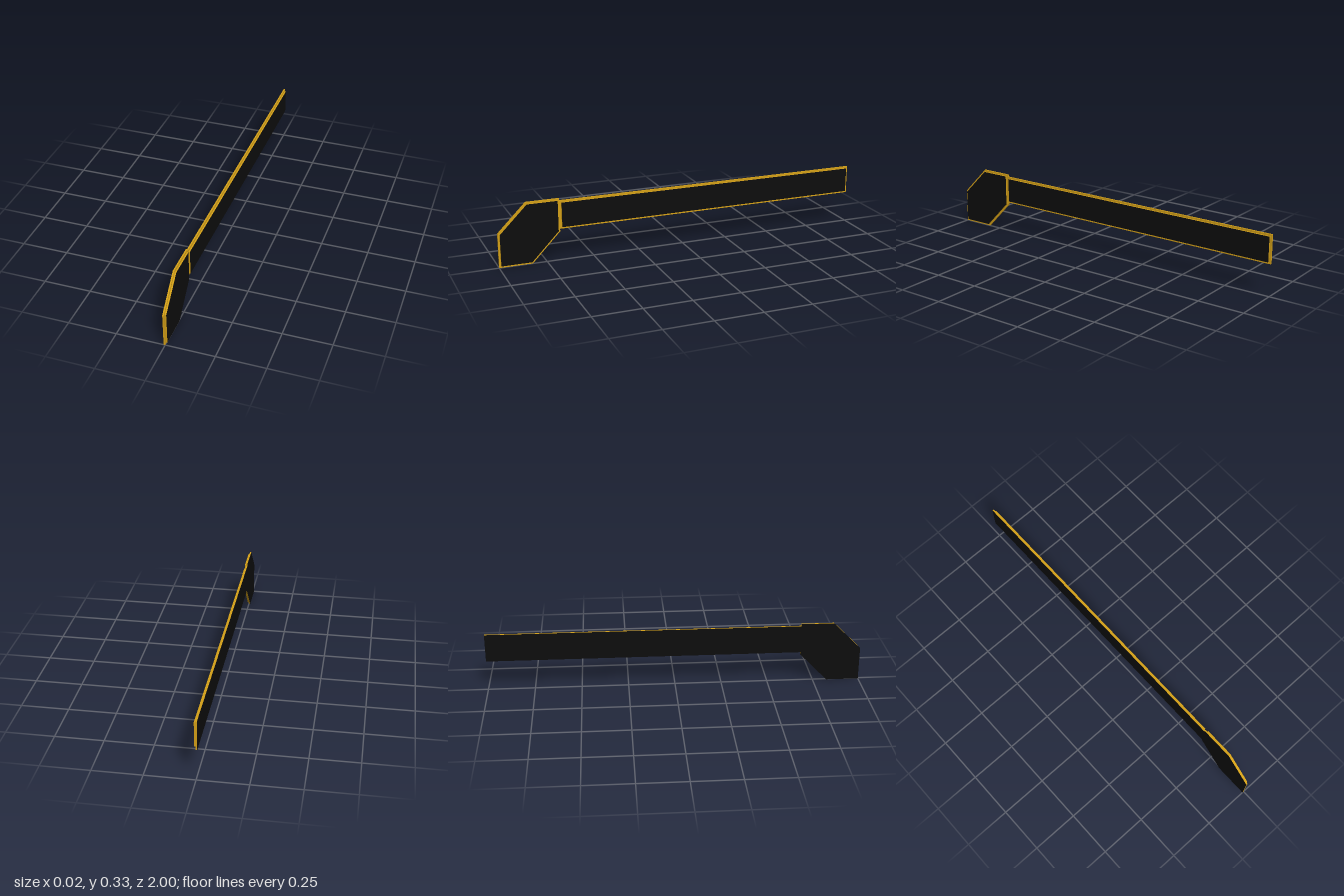
import * as THREE from 'three';

const gold = new THREE.MeshStandardMaterial({ color: 0xd4a017 });
const black = new THREE.MeshStandardMaterial({ color: 0x0d0d0d });

// Outlines as counter-clockwise [-z, y] corners
const headOutline = [[-1, 0], [-0.825, 0], [-0.675, 0.155], [-0.675, 0.332], [-0.85, 0.332], [-1, 0.182]];
const armOutline = [[-0.675, 0.168], [1, 0.168], [1, 0.32], [-0.675, 0.32]];

// Moves every edge of a convex outline inward by t
function inset(points, t) {
  const p = points.map(([x, y]) => new THREE.Vector2(x, y));
  const n = p.length;
  const normals = p.map((a, i) => {
    const d = p[(i + 1) % n].clone().sub(a).normalize();
    return new THREE.Vector2(-d.y, d.x);
  });
  return p.map((a, i) => {
    const n1 = normals[(i + n - 1) % n], n2 = normals[i];
    const s = t / (1 + n1.dot(n2));
    return [a.x + (n1.x + n2.x) * s, a.y + (n1.y + n2.y) * s];
  });
}

// Flat slab from x0 to x1 with separate materials for -x face, +x face and edges
function slab(name, points, x0, x1, materials) {
  const shape = new THREE.Shape(points.map(([x, y]) => new THREE.Vector2(x, y)));
  const geo = new THREE.ExtrudeGeometry(shape, { depth: x1 - x0, bevelEnabled: false });
  const [caps, sides] = geo.groups.map((g) => ({ ...g }));
  geo.clearGroups();
  geo.addGroup(0, caps.count / 2, 0);
  geo.addGroup(caps.count / 2, caps.count / 2, 1);
  geo.addGroup(sides.start, sides.count, 2);
  geo.rotateY(Math.PI / 2).translate(x0, 0, 0);
  const mesh = new THREE.Mesh(geo, materials);
  mesh.name = name;
  return mesh;
}

export function createModel() {
  const model = new THREE.Group();
  model.name = 'angledBlade';
  for (const [name, outline] of [['head', headOutline], ['arm', armOutline]]) {
    const part = new THREE.Group();
    part.name = name;
    // Gold-rimmed base plate with a black back, and a raised black panel
    part.add(slab(name + 'Base', outline, -0.008, 0, [black, gold, gold]));
    part.add(slab(name + 'Panel', inset(outline, 0.01), 0, 0.008, [gold, black, gold]));
    model.add(part);
  }
  return model;
}
